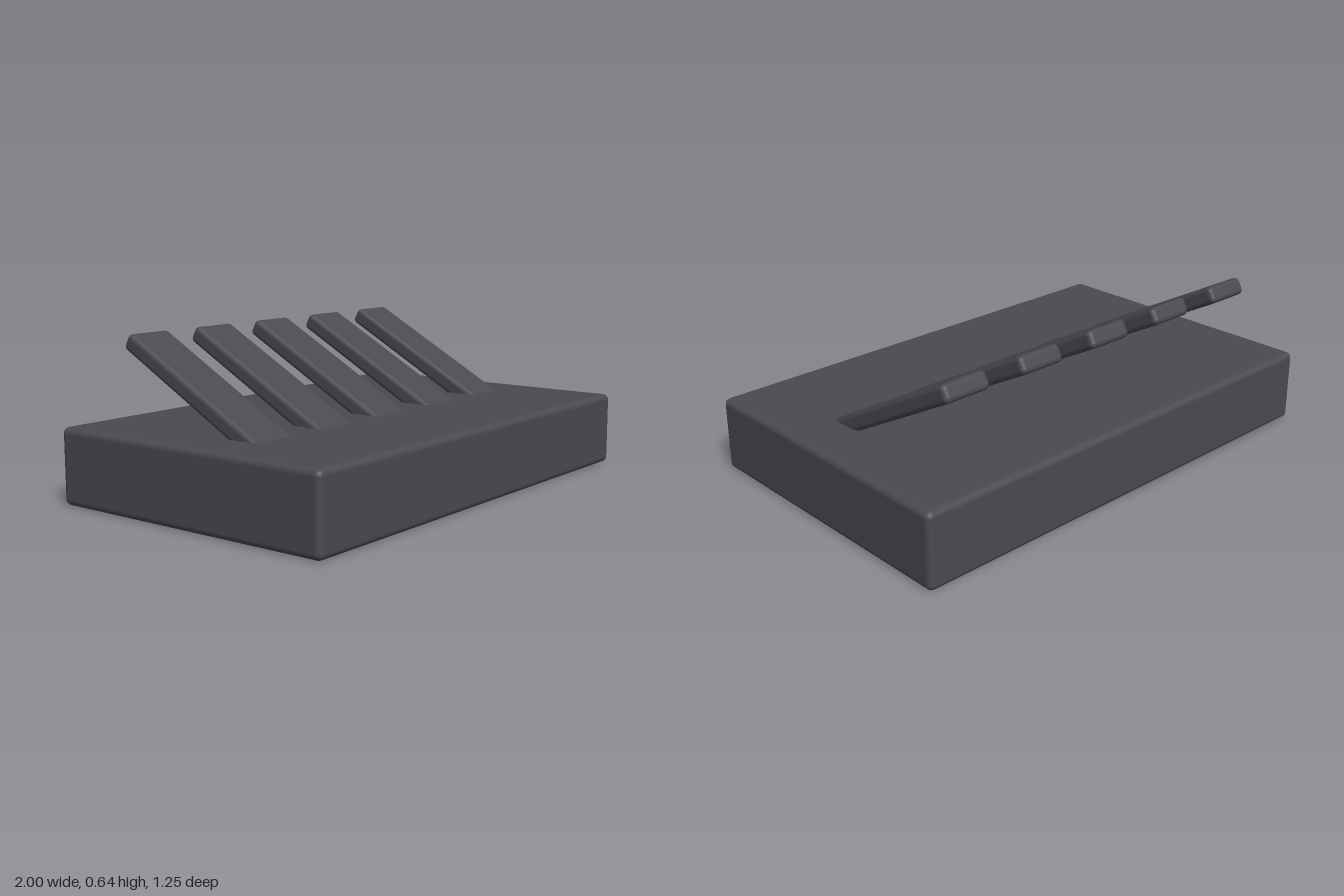
import * as THREE from 'three';
import { RoundedBoxGeometry } from 'three/addons/geometries/RoundedBoxGeometry.js';

const material = new THREE.MeshStandardMaterial({ color: 0x4a4a4f });

function roundedBlock(name, w, h, d, radius) {
  const mesh = new THREE.Mesh(new RoundedBoxGeometry(w, h, d, 4, radius), material);
  mesh.name = name;
  return mesh;
}

export function createModel() {
  const model = new THREE.Group();
  model.name = 'slottedStand';

  // Solid base block
  const base = roundedBlock('base', 2, 0.3, 1.25, 0.025);
  base.position.y = 0.15;
  model.add(base);

  // Row of slats leaning backwards, their feet sunk into the base
  for (let i = -2; i <= 2; i++) {
    const slat = roundedBlock(`slat${i + 3}`, 0.2, 0.07, 0.8, 0.02);
    slat.position.set(i * 0.35, 0.425, -0.13);
    slat.rotation.x = 0.5;
    model.add(slat);
  }
  return model;
}
